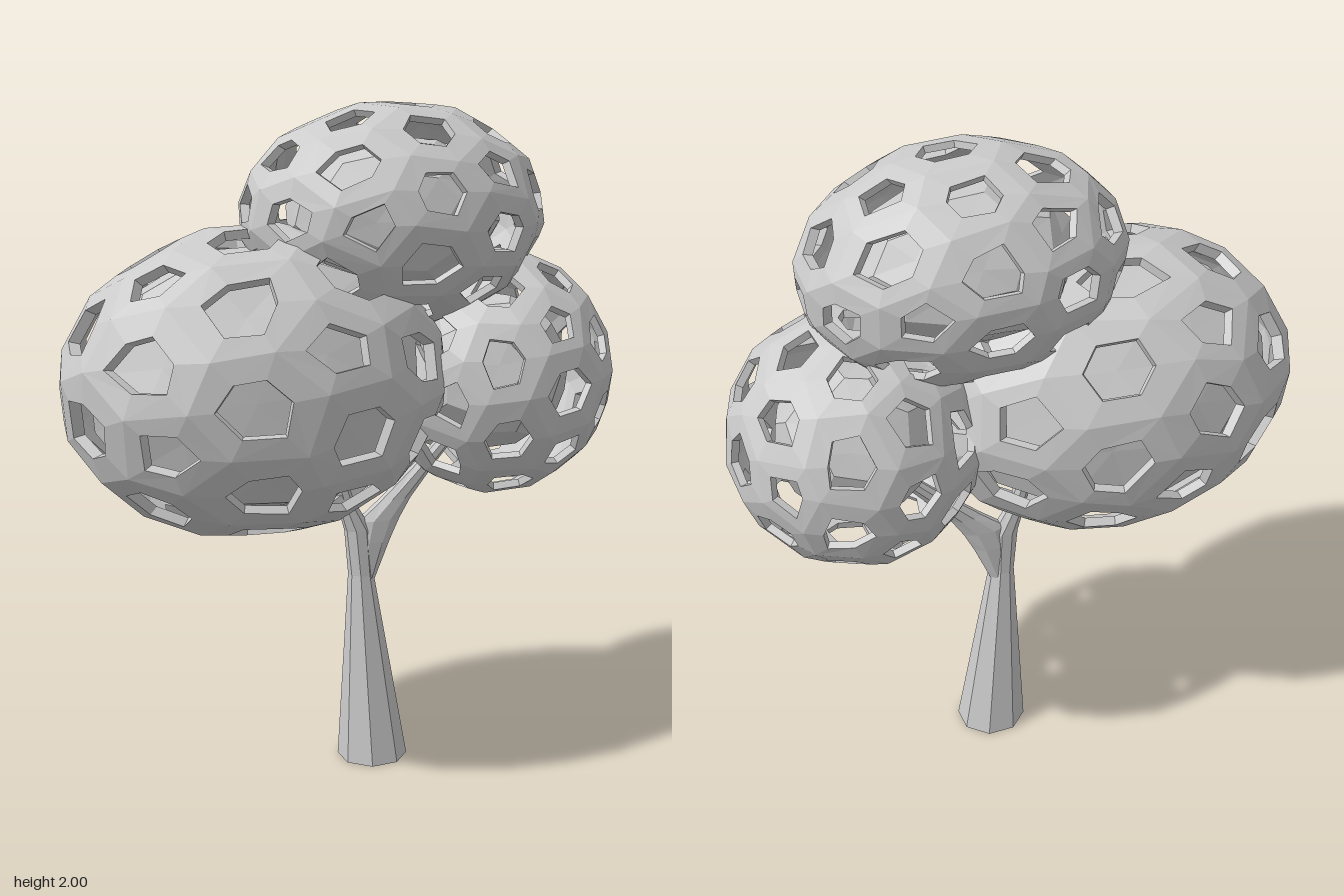
import * as THREE from 'three';
import { mergeVertices } from 'three/addons/utils/BufferGeometryUtils.js';

const material = new THREE.MeshStandardMaterial({ color: 0xcccccc, flatShading: true, side: THREE.DoubleSide });

function meshFrom(points, name) {
  const geometry = new THREE.BufferGeometry().setFromPoints(points);
  geometry.computeVertexNormals();
  const mesh = new THREE.Mesh(geometry, material);
  mesh.name = name;
  return mesh;
}

const quad = (out, a, b, c, d) => out.push(a, b, c, a, c, d);

function seeded(seed) {
  return () => {
    seed = (seed * 16807) % 2147483647;
    return seed / 2147483647;
  };
}

// Cells of a subdivided icosahedron: one ring of (slightly uneven) face centres round each vertex.
function sphereCells(random) {
  const ico = new THREE.IcosahedronGeometry(1, 1);
  ico.deleteAttribute('normal');
  ico.deleteAttribute('uv');
  const geo = mergeVertices(ico, 1e-3);
  const pos = geo.attributes.position;
  const verts = Array.from({ length: pos.count }, (_, i) => new THREE.Vector3().fromBufferAttribute(pos, i));
  const rings = verts.map(() => []);
  const uneven = () => 0.1 * (random() - 0.5);
  for (let f = 0; f < geo.index.count; f += 3) {
    const ids = [0, 1, 2].map((k) => geo.index.getX(f + k));
    const centre = new THREE.Vector3();
    ids.forEach((i) => centre.add(verts[i]));
    centre.normalize().add(new THREE.Vector3(uneven(), uneven(), uneven())).normalize();
    ids.forEach((i) => rings[i].push(centre));
  }
  // Sort each ring counter-clockwise as seen from outside
  return verts.map((n, i) => {
    const u = rings[i][0].clone().addScaledVector(n, -rings[i][0].dot(n)).normalize();
    const v = n.clone().cross(u);
    const angle = (p) => Math.atan2(p.dot(v), p.dot(u));
    return rings[i].sort((p, q) => angle(p) - angle(q));
  });
}

// Perforated faceted shell round a closed core, fitted to centre and half sizes.
function crown(name, centre, half, tilt, seed, coreSize) {
  const random = seeded(seed);
  const skin = [], floor = [];
  const inner = (p) => p.clone().multiplyScalar(0.94);
  const deep = (p) => p.clone().multiplyScalar(coreSize);
  for (const ring of sphereCells(random)) {
    const middle = new THREE.Vector3();
    ring.forEach((p) => middle.addScaledVector(p, 1 / ring.length));
    const hole = ring.map((p) => {
      const h = middle.clone().lerp(p, 0.45 + 0.18 * random());
      return h.setLength((h.length() + 1) / 2);
    });
    ring.forEach((A, k) => {
      const j = (k + 1) % ring.length;
      const B = ring[j], a = hole[k], b = hole[j];
      quad(skin, A, B, b, a); // outer skin
      quad(skin, inner(a), inner(b), inner(B), inner(A)); // inner skin
      quad(skin, a, b, inner(b), inner(a)); // hole wall
      floor.push(deep(middle), deep(A), deep(B));
    });
  }
  // Turn, then size the crown to its half sizes
  const turn = new THREE.Euler(...tilt);
  skin.concat(floor).forEach((p) => { p.turned = false; });
  const points = [...new Set([...skin, ...floor])];
  points.forEach((p) => p.applyEuler(turn));
  const box = new THREE.Box3().setFromPoints(points);
  const mid = box.getCenter(new THREE.Vector3());
  const fit = new THREE.Vector3(...half).multiplyScalar(2).divide(box.getSize(new THREE.Vector3()));
  points.forEach((p) => p.sub(mid).multiply(fit).add(new THREE.Vector3(...centre)));

  const group = new THREE.Group();
  group.name = name;
  group.add(meshFrom(skin, 'perforatedShell'), meshFrom(floor, 'core'));
  return group;
}

// Eight-sided loft through level sections [x, y, radiusX, radiusZ].
function limb(name, sections) {
  const sides = 8;
  const out = [];
  const rings = sections.map(([x, y, rx, rz]) =>
    Array.from({ length: sides }, (_, j) => {
      const t = ((j + 0.5) / sides) * Math.PI * 2;
      const k = 1 / Math.cos(Math.PI / sides);
      return new THREE.Vector3(x + rx * k * Math.cos(t), y, rz * k * Math.sin(t));
    })
  );
  const first = rings[0], last = rings[rings.length - 1];
  for (let j = 0; j < sides; j++) {
    const n = (j + 1) % sides;
    for (let i = 0; i < rings.length - 1; i++) {
      quad(out, rings[i][j], rings[i + 1][j], rings[i + 1][n], rings[i][n]);
    }
    const [x0, y0] = sections[0];
    const [x1, y1] = sections[sections.length - 1];
    out.push(new THREE.Vector3(x0, y0, 0), first[j], first[n]);
    out.push(new THREE.Vector3(x1, y1, 0), last[n], last[j]);
  }
  return meshFrom(out, name);
}

export function createModel() {
  const tree = new THREE.Group();
  tree.name = 'tree';

  // Trunk running on into the branch under the large crown
  tree.add(limb('trunk', [
    [0.085, 0, 0.1, 0.097],
    [0.045, 0.6, 0.036, 0.035],
    [0.035, 0.74, 0.04, 0.028],
    [-0.005, 0.83, 0.026, 0.022],
    [-0.05, 0.98, 0.02, 0.018],
  ]));
  // Side branch to the small crown
  tree.add(limb('sideBranch', [
    [0.047, 0.56, 0.03, 0.03],
    [0.082, 0.7, 0.054, 0.03],
    [0.102, 0.765, 0.066, 0.028],
    [0.158, 0.825, 0.048, 0.024],
    [0.262, 0.93, 0.032, 0.02],
    [0.36, 1.03, 0.025, 0.018],
  ]));

  // Three perforated crowns
  tree.add(crown('largeCrown', [-0.28, 1.222, 0], [0.572, 0.447, 0.437], [0.2, 0.3, 0.12], 1117, 0.86));
  tree.add(crown('topCrown', [0.145, 1.68, 0], [0.457, 0.32, 0.345], [0.1, 0.5, -0.1], 2311, 0.7));
  tree.add(crown('smallCrown', [0.478, 1.195, 0], [0.364, 0.367, 0.364], [0, 0.2, 0.1], 3719, 0.63));
  return tree;
}
